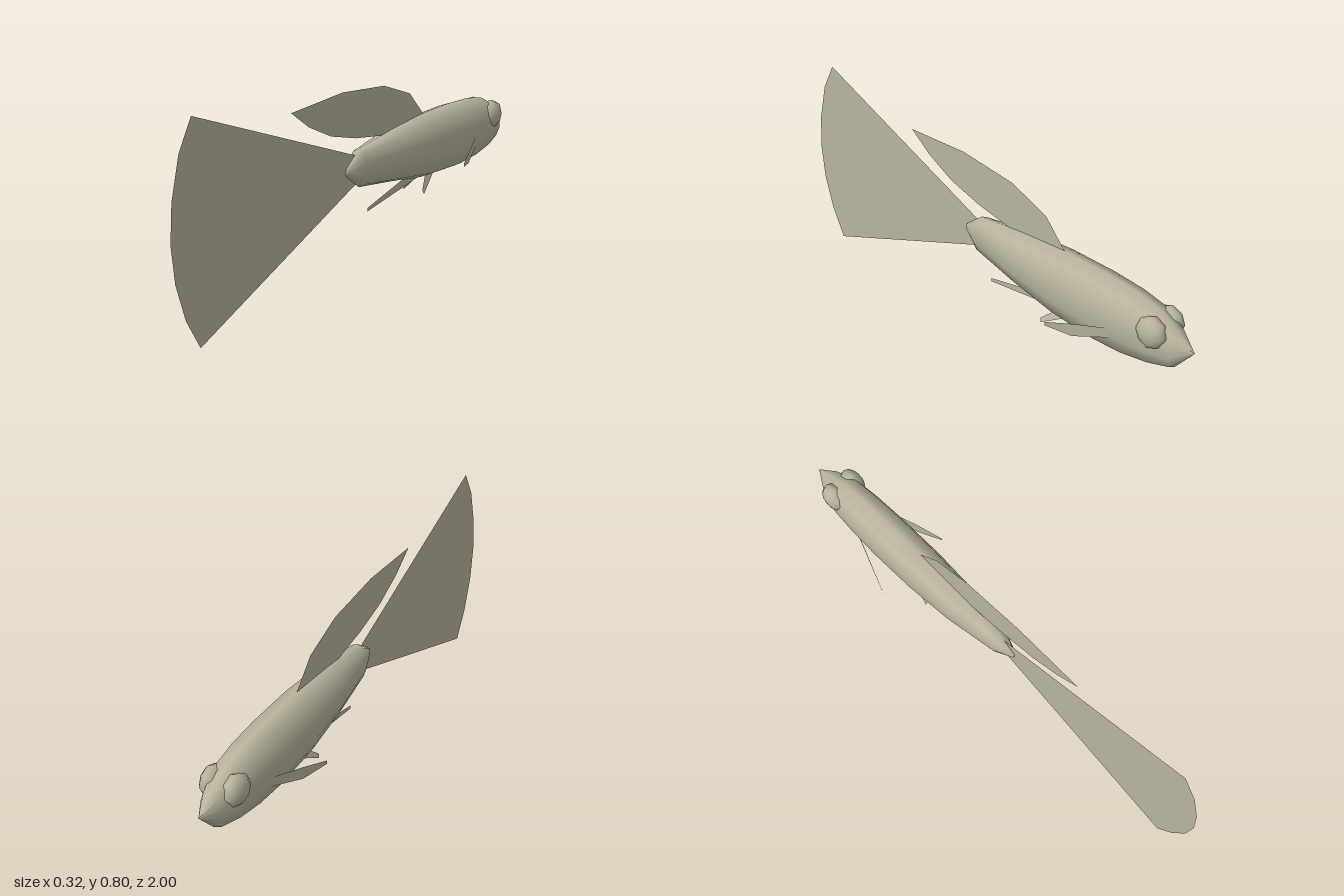
import * as THREE from 'three';

const skin = new THREE.MeshStandardMaterial({ color: 0xb8b49e, side: THREE.DoubleSide });
skin.name = 'paleOlive';

// Loft of ten-sided rings: [z, top, bottom, halfWidth], nose to tail
function bodyGeometry() {
  const half = [[0, 1], [0.69, 0.84], [1, 0.3], [1, -0.3], [0.69, -0.8], [0, -1]];
  const section = [...half, ...half.slice(1, 5).reverse().map(([x, y]) => [-x, y])];
  const rings = [
    [-1, 0.4, 0.4, 0], [-0.925, 0.455, 0.305, 0.045], [-0.84, 0.5, 0.28, 0.068],
    [-0.73, 0.52, 0.258, 0.075], [-0.6, 0.527, 0.25, 0.079], [-0.4, 0.525, 0.262, 0.078],
    [-0.2, 0.508, 0.297, 0.068], [0.015, 0.48, 0.33, 0.037], [0.09, 0.42, 0.39, 0.01],
    [0.095, 0.405, 0.405, 0],
  ];
  const n = section.length, pos = [], idx = [];
  rings.forEach(([z, top, bottom, w], r) => {
    section.forEach(([x, y], i) => {
      pos.push(x * w, (top + bottom) / 2 + y * (top - bottom) / 2, z);
      if (r === rings.length - 1) return;
      const a = r * n + i, b = r * n + (i + 1) % n;
      idx.push(a, a + n, b, b, a + n, b + n);
    });
  });
  const g = new THREE.BufferGeometry();
  g.setAttribute('position', new THREE.Float32BufferAttribute(pos, 3));
  g.setIndex(idx);
  g.computeVertexNormals();
  return g;
}

// Flat convex fin from its outline of [x, y, z] points
function finGeometry(points) {
  const g = new THREE.BufferGeometry();
  g.setAttribute('position', new THREE.Float32BufferAttribute(points.flat(), 3));
  const idx = [];
  for (let i = 1; i < points.length - 1; i++) idx.push(0, i, i + 1);
  g.setIndex(idx);
  g.computeVertexNormals();
  return g;
}

export function createModel() {
  const fish = new THREE.Group();
  fish.name = 'fish';
  const add = (name, geometry) => {
    const mesh = new THREE.Mesh(geometry, skin);
    mesh.name = name;
    fish.add(mesh);
    return mesh;
  };
  const midFin = (name, outline) => add(name, finGeometry(outline.map(([z, y]) => [0, y, z])));

  add('body', bodyGeometry());

  // Fins on the centre line, as [z, y]
  midFin('tailFin', [[-0.02, 0.368], [-0.02, 0.438], [0.885, 0.8], [0.947, 0.69], [0.987, 0.54],
    [1, 0.4], [0.987, 0.26], [0.947, 0.12], [0.885, 0]]);
  midFin('dorsalFin', [[-0.41, 0.522], [-0.315, 0.625], [-0.145, 0.69], [0.11, 0.716], [0.4, 0.702],
    [0.305, 0.63], [0.18, 0.567], [0.03, 0.525], [-0.13, 0.498]]);
  midFin('analFin', [[-0.4, 0.27], [-0.27, 0.285], [-0.04, 0.231], [-0.04, 0.217]]);

  // Paired fins and eyes
  const pectoral = [[0.074, 0.377, -0.69], [0.122, 0.356, -0.57], [0.158, 0.33, -0.47],
    [0.158, 0.316, -0.47], [0.12, 0.301, -0.565], [0.074, 0.338, -0.69]];
  const pelvic = [[0.02, 0.275, -0.46], [0.02, 0.278, -0.4], [0.045, 0.228, -0.345], [0.05, 0.213, -0.35]];
  for (const [side, s] of [['left', 1], ['right', -1]]) {
    const mirror = pts => pts.map(([x, y, z]) => [s * x, y, z]);
    add(side + 'PectoralFin', finGeometry(mirror(pectoral)));
    add(side + 'PelvicFin', finGeometry(mirror(pelvic)));
    const eye = add(side + 'Eye', new THREE.SphereGeometry(1, 8, 6).rotateZ(Math.PI / 2));
    eye.scale.set(0.04, 0.062, 0.062);
    eye.position.set(s * 0.045, 0.432, -0.85);
  }
  return fish;
}
